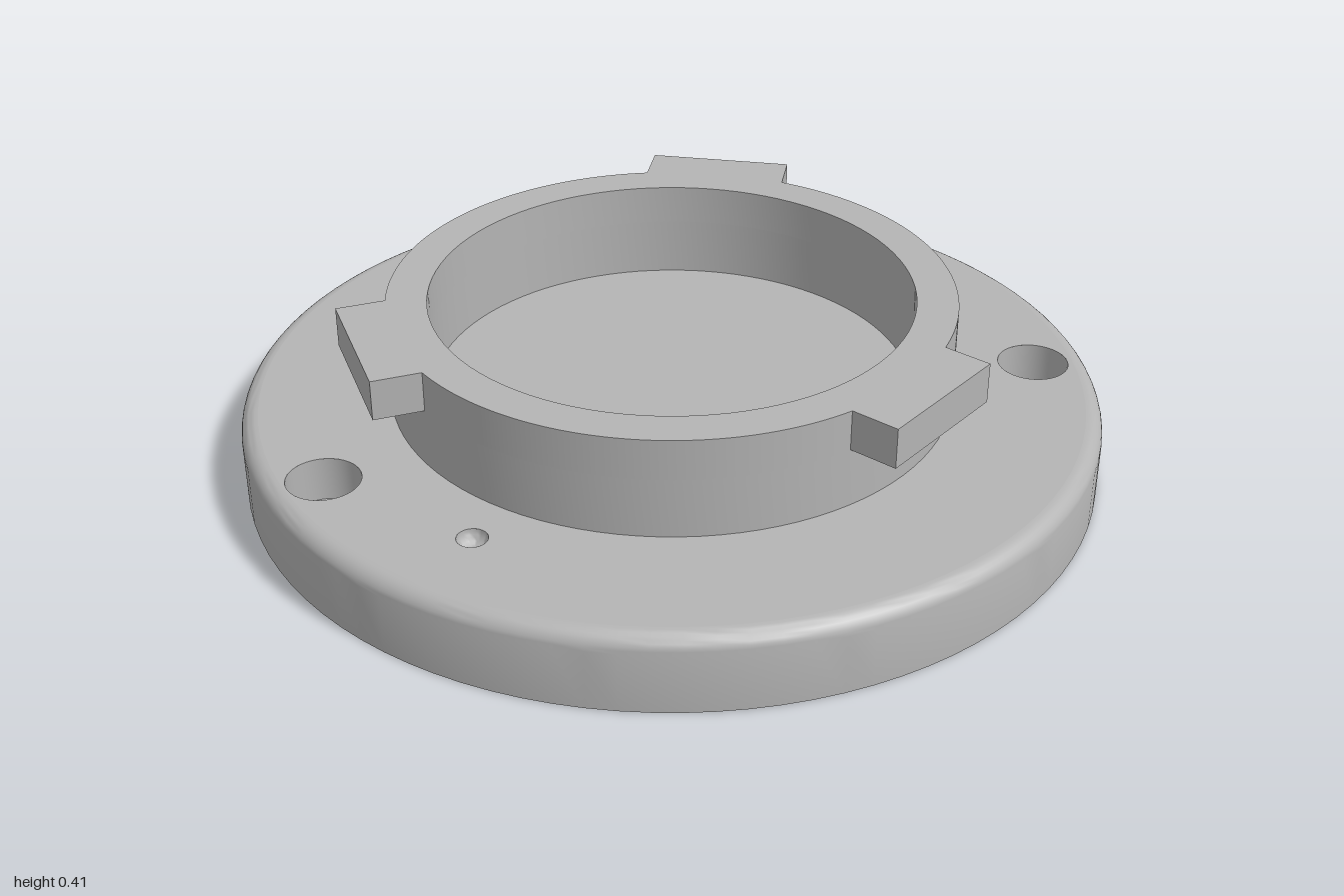
import * as THREE from 'three';
import { toCreasedNormals } from 'three/addons/utils/BufferGeometryUtils.js';

const SEG = 96;
const TOP = 0.18, RECESS = 0.03, POCKET = 0.14, LUG_Y = 0.32, COLLAR_TOP = 0.415;
const R = 1, FILLET = 0.04, LIP_R = 0.98, BOSS_R = 0.743, COLLAR_R = 0.655, BORE_R = 0.56;
const SCREWS = [[0.43, -0.755], [0.612, 0.612], [-0.818, -0.3]];
const PIN = [-0.77, 0.105], PIN_R = 0.034, SCREW_R = 0.05, BORE_SCREW_R = 0.083;

const circle = (r, x = 0, y = 0, Type = THREE.Path) => new Type().absarc(x, y, r, 0, Math.PI * 2, false);
const disc = (r) => circle(r, 0, 0, THREE.Shape);

function roundedRect(a, b, r, Type) {
  const p = new Type();
  p.absarc(a - r, b - r, r, 0, Math.PI / 2, false);
  p.absarc(r - a, b - r, r, Math.PI / 2, Math.PI, false);
  p.absarc(r - a, r - b, r, Math.PI, Math.PI * 1.5, false);
  p.absarc(a - r, r - b, r, Math.PI * 1.5, Math.PI * 2, false);
  p.closePath();
  return p;
}

// Flat faces: facing up takes shape y = -z, facing down takes shape y = z
const faceUp = (shape, y) => new THREE.ShapeGeometry(shape, SEG / 2).rotateX(-Math.PI / 2).translate(0, y, 0);
const faceDown = (shape, y) => new THREE.ShapeGeometry(shape, SEG / 2).rotateX(Math.PI / 2).translate(0, y, 0);

function lathe(points, segments = SEG) {
  const g = new THREE.LatheGeometry(points.map(([x, y]) => new THREE.Vector2(x, y)), segments);
  return toCreasedNormals(g, 0.5);
}

// Collar outline with three flat-ended lugs
function collarOutline() {
  const s = new THREE.Shape(), half = 0.175, out = 0.745;
  const h = Math.asin(half / COLLAR_R);
  for (let i = 0; i < 3; i++) {
    const a = -Math.PI / 2 + i * Math.PI * 2 / 3;
    const c = Math.cos(a), n = Math.sin(a);
    const corner = (t) => [out * c - t * n, out * n + t * c];
    const start = [COLLAR_R * Math.cos(a - h), COLLAR_R * Math.sin(a - h)];
    if (i === 0) s.moveTo(...start);
    s.lineTo(...corner(-half));
    s.lineTo(...corner(half));
    s.absarc(0, 0, COLLAR_R, a + h, a + Math.PI * 2 / 3 - h, false);
  }
  s.holes.push(circle(BORE_R));
  return s;
}

export function createModel() {
  const model = new THREE.Group();
  const grey = new THREE.MeshStandardMaterial({ color: 0xb4b4b4, side: THREE.DoubleSide });
  grey.name = 'grey';
  const add = (name, geometry, x = 0, z = 0) => {
    const m = new THREE.Mesh(geometry, grey);
    m.name = name;
    m.position.set(x, 0, z);
    model.add(m);
  };

  // Flange edge with bottom lip and rounded upper edge
  const edge = [[LIP_R, RECESS], [LIP_R, 0], [R, 0]];
  for (let i = 0; i <= 8; i++) {
    const t = i / 8 * Math.PI / 2;
    edge.push([R - FILLET + FILLET * Math.cos(t), TOP - FILLET + FILLET * Math.sin(t)]);
  }
  add('flangeEdge', lathe(edge));

  // Flange upper face
  const top = disc(R - FILLET);
  top.holes.push(circle(COLLAR_R), circle(PIN_R, PIN[0], -PIN[1]));
  SCREWS.forEach(([x, z]) => top.holes.push(circle(BORE_SCREW_R, x, -z)));
  add('flangeTop', faceUp(top, TOP));

  // Shallow ring-shaped recess underneath
  const under = disc(LIP_R);
  under.holes.push(circle(BOSS_R));
  SCREWS.forEach(([x, z]) => under.holes.push(circle(SCREW_R, x, z)));
  add('undersideRecess', faceDown(under, RECESS));

  // Central boss underneath, with a rectangular pocket
  add('bossWall', lathe([[BOSS_R, 0], [BOSS_R, RECESS]]));
  const boss = disc(BOSS_R);
  boss.holes.push(roundedRect(0.592, 0.4, 0.05, THREE.Path));
  add('bossFace', faceDown(boss, 0));
  const pocket = roundedRect(0.592, 0.4, 0.05, THREE.Shape);
  add('pocketCeiling', faceDown(pocket, POCKET));

  // Pocket walls: an inward-facing strip along the outline
  const pts = pocket.getPoints(8), pos = [];
  pts.forEach((p, i) => {
    const q = pts[(i + 1) % pts.length];
    if (p.distanceTo(q) < 1e-6) return;
    pos.push(p.x, 0, p.y, q.x, 0, q.y, q.x, POCKET, q.y, p.x, 0, p.y, q.x, POCKET, q.y, p.x, POCKET, p.y);
  });
  const walls = new THREE.BufferGeometry();
  walls.setAttribute('position', new THREE.Float32BufferAttribute(pos, 3));
  add('pocketWalls', toCreasedNormals(walls, 0.5));

  // Counterbored screw holes and locating dimple
  for (const [x, z] of SCREWS) {
    add('screwHole', lathe([[BORE_SCREW_R, TOP], [BORE_SCREW_R, 0.075], [SCREW_R, 0.075], [SCREW_R, RECESS]], 48), x, z);
  }
  const dimple = [];
  for (let i = 0; i <= 8; i++) {
    const t = i / 8 * Math.PI / 2;
    dimple.push([PIN_R * Math.cos(t), TOP - PIN_R * Math.sin(t)]);
  }
  add('locatingDimple', lathe(dimple, 32), ...PIN);

  // Collar: plain lower part, lugged upper part, floor inside
  add('collarOuterWall', lathe([[COLLAR_R, TOP], [COLLAR_R, LUG_Y]]));
  add('collarInnerWall', lathe([[BORE_R, LUG_Y], [BORE_R, TOP]]));
  add('collarFloor', faceUp(disc(BORE_R), TOP));
  const lugged = new THREE.ExtrudeGeometry(collarOutline(), {
    depth: COLLAR_TOP - LUG_Y, bevelEnabled: false, curveSegments: SEG / 2,
  });
  lugged.rotateX(-Math.PI / 2).translate(0, LUG_Y, 0);
  add('luggedCollar', toCreasedNormals(lugged, 0.5));

  return model;
}
